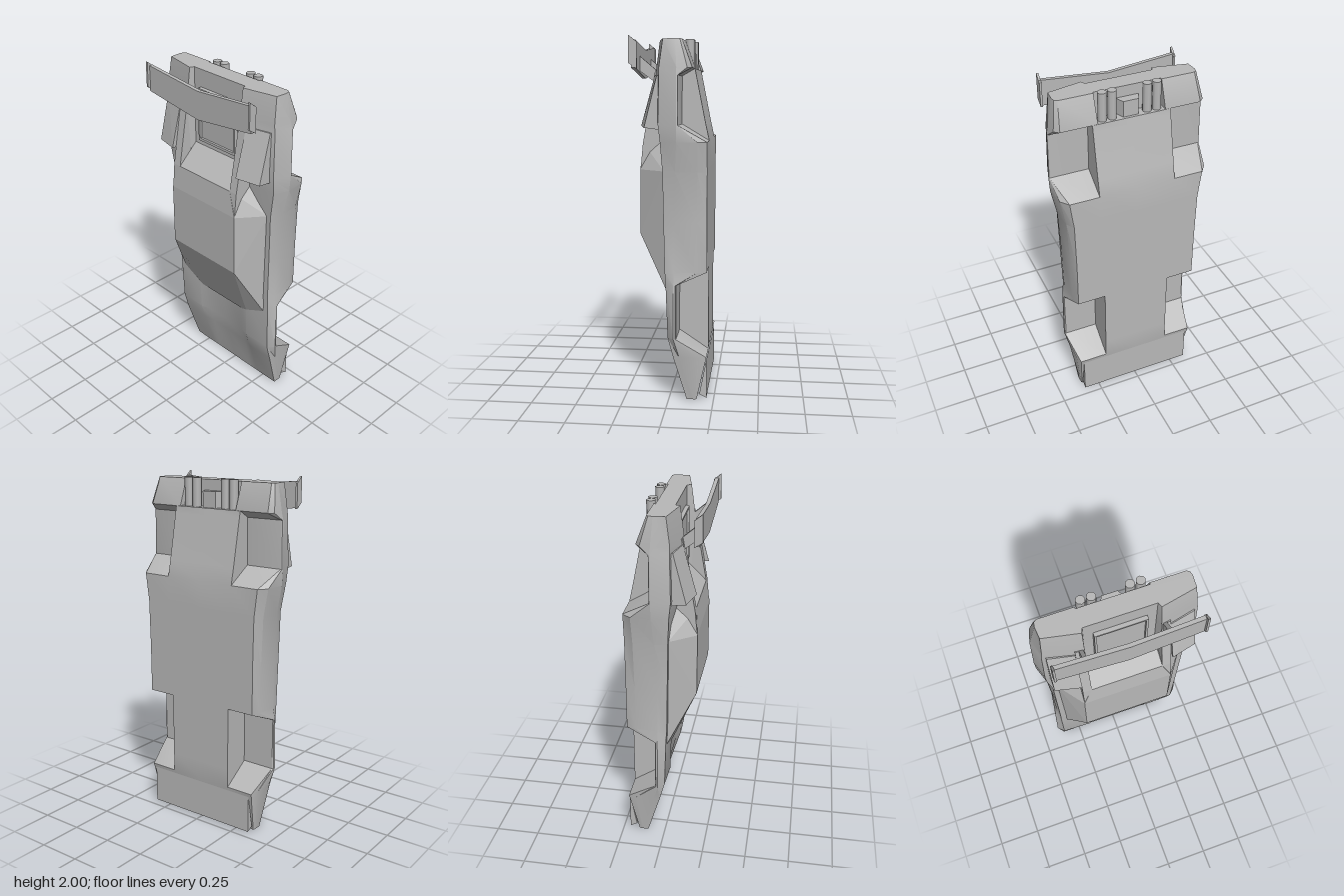
import * as THREE from 'three';
import { toCreasedNormals } from 'three/addons/utils/BufferGeometryUtils.js';
import { ConvexGeometry } from 'three/addons/geometries/ConvexGeometry.js';

const bodyGrey = new THREE.MeshStandardMaterial({ color: 0xb8b8b8 });
bodyGrey.name = 'bodyGrey';

// Car standing on its nose: +y runs to the tail, +z is the roof side.
// y, underside z, wheel-well z, bottom x, side x, side z, shoulder x, shoulder z, ridge z, centre z
const SECTIONS = [
  [0, -.155, -.155, .345, .35, -.13, .35, -.10, -.10, -.10],
  [.25, -.21, -.21, .365, .38, -.06, .37, -.025, -.025, -.04],
  [.36, -.21, -.045, .395, .405, -.03, .37, .005, .01, -.01],
  [.66, -.21, -.045, .395, .40, -.03, .375, .015, .02, .01],
  [.73, -.21, -.21, .365, .385, -.03, .375, .02, .02, .02],
  [1.0, -.21, -.21, .365, .39, -.03, .38, .025, .025, .025],
  [1.28, -.21, -.21, .37, .405, -.04, .385, .03, .03, .03],
  [1.44, -.21, -.21, .39, .44, -.05, .41, .04, .06, .05],
  [1.53, -.19, -.06, .435, .445, -.05, .415, .05, .075, .04],
  [1.79, -.138, -.06, .435, .44, -.05, .41, .045, .095, .04],
  [1.83, -.13, -.13, .395, .43, -.05, .405, .045, .085, .04],
  [1.832, -.065, -.13, .395, .43, -.05, .405, .045, .085, .04],
  [1.98, -.065, -.075, .38, .40, -.04, .395, .025, .065, .04],
];

// Full closed ring [x, z] of one section, mirrored about x = 0
function ring([y, zb, zw, xb, xs, zs, xt, zt, zh, zr]) {
  const xi = y < 1 ? .2 : y < 1.831 ? .22 : .19;
  const xr = y < 1.2 ? .14 : .19;
  const half = [
    [0, zb], [xi, zb], [xi, zw], [xb, zw],
    [xb + (xs - xb) * .75, zw + (zs - zw) * .3],
    [xs, zs], [xt, zt], [.2, zh], [xr, zr], [0, zr],
  ];
  const mirrored = half.slice(1, -1).reverse().map(([x, z]) => [-x, z]);
  return half.concat(mirrored);
}

function loftBody() {
  const rings = SECTIONS.map(ring);
  const n = rings[0].length;
  const pos = [], idx = [];
  rings.forEach((r, i) => r.forEach(([x, z]) => pos.push(x, SECTIONS[i][0], z)));
  for (let i = 0; i < rings.length - 1; i++) {
    for (let j = 0; j < n; j++) {
      const k = (j + 1) % n;
      const a = i * n + j, b = i * n + k, c = b + n, d = a + n;
      idx.push(a, d, c, a, c, b);
    }
  }
  // nose and tail caps
  for (const [i, sign] of [[0, 1], [rings.length - 1, -1]]) {
    const pts = rings[i].map(([x, z]) => new THREE.Vector2(x, z));
    for (const [a, b, c] of THREE.ShapeUtils.triangulateShape(pts, [])) {
      const ccw = THREE.ShapeUtils.area([pts[a], pts[b], pts[c]]) * sign > 0;
      idx.push(i * n + a, i * n + (ccw ? b : c), i * n + (ccw ? c : b));
    }
  }
  const geo = new THREE.BufferGeometry();
  geo.setAttribute('position', new THREE.Float32BufferAttribute(pos, 3));
  geo.setIndex(idx);
  return toCreasedNormals(geo, .4);
}

const shapeOf = (pts) => new THREE.Shape(pts.map(([a, b]) => new THREE.Vector2(a, b)));
const extrude = (shape, depth) => new THREE.ExtrudeGeometry(shape, { depth, bevelEnabled: false });

// Side profile of [y, z] points, extruded along x and centred on x
function sideProfile(pts, x, width) {
  const m = new THREE.Matrix4().makeBasis(
    new THREE.Vector3(0, 1, 0), new THREE.Vector3(0, 0, 1), new THREE.Vector3(1, 0, 0));
  return extrude(shapeOf(pts), width).applyMatrix4(m).translate(x - width / 2, 0, 0);
}

const hull = (pts) => new ConvexGeometry(pts.map((p) => new THREE.Vector3(...p)));
const bothSides = (pts) => pts.concat(pts.map(([x, y, z]) => [-x, y, z]));

export function createModel() {
  const car = new THREE.Group();
  car.name = 'wedgeSportsCar';
  const add = (name, geo) => {
    const mesh = new THREE.Mesh(geo, bodyGrey);
    mesh.name = name;
    car.add(mesh);
    return mesh;
  };

  add('body', loftBody());

  // Lip under the nose with a slot above it
  add('frontSplitter', sideProfile([[.03, -.17], [.23, -.209], [.01, -.21]], 0, .69));

  // Windscreen, roof, side windows and rear window
  add('cabin', hull(bothSides([
    [.20, .54, .01], [.34, .62, .015], [.36, 1.28, .025],
    [.25, .92, .17], [.25, 1.28, .17], [.20, 1.42, .155],
    [.25, 1.41, .03], [.19, 1.54, .04], [.20, .56, -.03], [.34, 1.28, -.02],
  ])));

  // Engine cover: raised panel inside a frame
  const frame = shapeOf([[-.14, 1.575], [.14, 1.575], [.14, 1.88], [-.14, 1.88]]);
  frame.holes.push(shapeOf([[-.128, 1.59], [-.128, 1.868], [.128, 1.868], [.128, 1.59]]));
  add('engineCoverFrame', extrude(frame, .025).translate(0, 0, .038));
  add('engineCoverPanel', new THREE.BoxGeometry(.256, .278, .012).translate(0, 1.729, .044));

  for (const s of [1, -1]) {
    const side = s > 0 ? 'left' : 'right';

    // Sloping pillar behind the roof
    add(side + 'Buttress', sideProfile(
      [[1.28, .168], [1.42, .155], [1.82, .085], [1.82, .02], [1.28, .02]], s * .224, .05));

    // Wedge-shaped air intake
    add(side + 'Intake', hull([
      [.25, 1.52, .163], [.39, 1.515, .128], [.25, 1.51, .05], [.39, 1.505, .045],
      [.25, 1.79, .088], [.39, 1.79, .058], [.25, 1.79, .04], [.39, 1.79, .03],
    ].map(([x, y, z]) => [s * x, y, z])));

    // Wing supports and end plates
    add(side + 'WingStrut', sideProfile(
      [[1.75, .08], [1.82, .08], [1.90, .175], [1.82, .175]], s * .218, .022));
    add(side + 'WingEndPlate', sideProfile(
      [[1.825, .165], [1.965, .165], [2.0, .208], [1.855, .21]], s * .385, .012));

    // Twin exhaust pipes
    for (const x of [.098, .153]) {
      add(side + 'ExhaustPipe',
        new THREE.CylinderGeometry(.025, .025, .17, 8).translate(s * x, 1.905, -.096));
    }
  }

  // Chevron rear wing
  add('rearWing', extrude(shapeOf([
    [.385, 1.975], [0, 1.94], [-.385, 1.975], [-.385, 1.83], [0, 1.78], [.385, 1.83],
  ]), .022).translate(0, 0, .172));

  // Gearbox between the exhausts
  add('gearbox', hull(bothSides([
    [.067, 1.82, -.06], [.043, 1.82, -.115], [.067, 1.92, -.06], [.043, 1.92, -.115],
  ])));

  return car;
}
